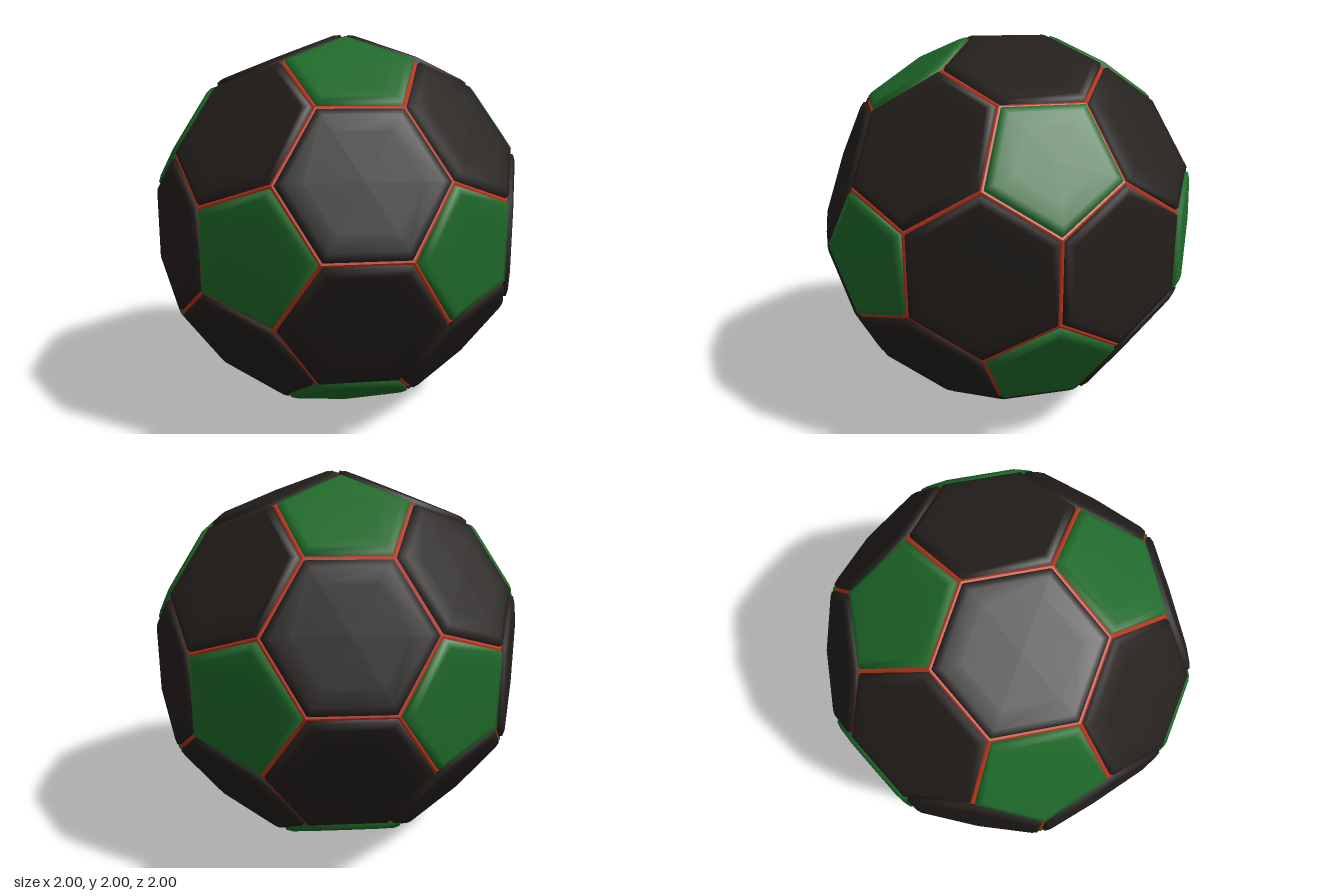
import * as THREE from 'three';
import { ConvexGeometry } from 'three/addons/geometries/ConvexGeometry.js';

const PHI = (1 + Math.sqrt(5)) / 2;
const HALF_EDGE = 0.203;

// All sign changes and cyclic shifts of a coordinate triple, without repeats
function symmetric(x, y, z) {
  const found = new Map();
  for (const [a, b, c] of [[x, y, z], [z, x, y], [y, z, x]])
    for (const i of [1, -1]) for (const j of [1, -1]) for (const k of [1, -1]) {
      const v = new THREE.Vector3(a * i, b * j, c * k);
      found.set(v.toArray().map(n => Math.round(n * 1000)).join(), v);
    }
  return [...found.values()];
}

// Corners of the truncated icosahedron
const corners = [
  ...symmetric(1, 0, 3 * PHI),
  ...symmetric(2 + PHI, 1, 2 * PHI),
  ...symmetric(2, PHI, 2 * PHI + 1),
].map(v => v.multiplyScalar(HALF_EDGE));

// Panel cross-section from the seam inwards: [inset from edge, height above face]
const RINGS = [[0.008, -0.01], [0.014, 0.021], [0.045, 0.031], [0.12, 0.033]];

// Raised panel with softened edges over the face pointing along n
function panelGeometry(n) {
  const reach = Math.max(...corners.map(c => c.dot(n)));
  const face = corners.filter(c => reach - c.dot(n) < 0.001);
  const sides = face.length;
  const center = n.clone().multiplyScalar(reach);
  const u = face[0].clone().sub(center).normalize();
  const v = n.clone().cross(u);
  const angle = p => Math.atan2(p.clone().sub(center).dot(v), p.clone().sub(center).dot(u));
  face.sort((a, b) => angle(a) - angle(b));
  const apothem = HALF_EDGE / Math.tan(Math.PI / sides);

  const positions = [], index = [];
  for (const [inset, height] of RINGS)
    for (const corner of face) {
      const p = center.clone().lerp(corner, 1 - inset / apothem).addScaledVector(n, height);
      positions.push(p.x, p.y, p.z);
    }
  const top = center.clone().addScaledVector(n, 0.034);
  positions.push(top.x, top.y, top.z);

  const last = RINGS.length - 1;
  for (let i = 0; i < sides; i++) {
    const j = (i + 1) % sides;
    for (let r = 0; r < last; r++) {
      const a = r * sides + i, b = r * sides + j;
      index.push(a, b, b + sides, a, b + sides, a + sides);
    }
    index.push(last * sides + i, last * sides + j, RINGS.length * sides);
  }
  const geometry = new THREE.BufferGeometry();
  geometry.setAttribute('position', new THREE.Float32BufferAttribute(positions, 3));
  geometry.setIndex(index);
  geometry.computeVertexNormals();
  return geometry;
}

export function createModel() {
  const ball = new THREE.Group();
  ball.name = 'ball';
  const green = new THREE.MeshStandardMaterial({ color: 0x1f6a2a });
  const black = new THREE.MeshStandardMaterial({ color: 0x231f1c });
  const red = new THREE.MeshStandardMaterial({ color: 0xb8321a });

  // Core, seen only as the seams between panels
  const core = new THREE.Mesh(new ConvexGeometry(corners), red);
  core.name = 'seams';
  ball.add(core);

  const addPanels = (name, normals, material) => {
    const group = new THREE.Group();
    group.name = name + 's';
    normals.forEach(n => {
      const mesh = new THREE.Mesh(panelGeometry(n.normalize()), material);
      mesh.name = name;
      group.add(mesh);
    });
    ball.add(group);
  };
  // Twelve pentagons and twenty hexagons
  addPanels('pentagonPanel', symmetric(1, 0, PHI), green);
  addPanels('hexagonPanel', [...symmetric(1, 1, 1), ...symmetric(0, 1 / PHI, PHI)], black);

  ball.position.y = 1;
  const model = new THREE.Group();
  model.name = 'panelledBall';
  model.add(ball);
  return model;
}
